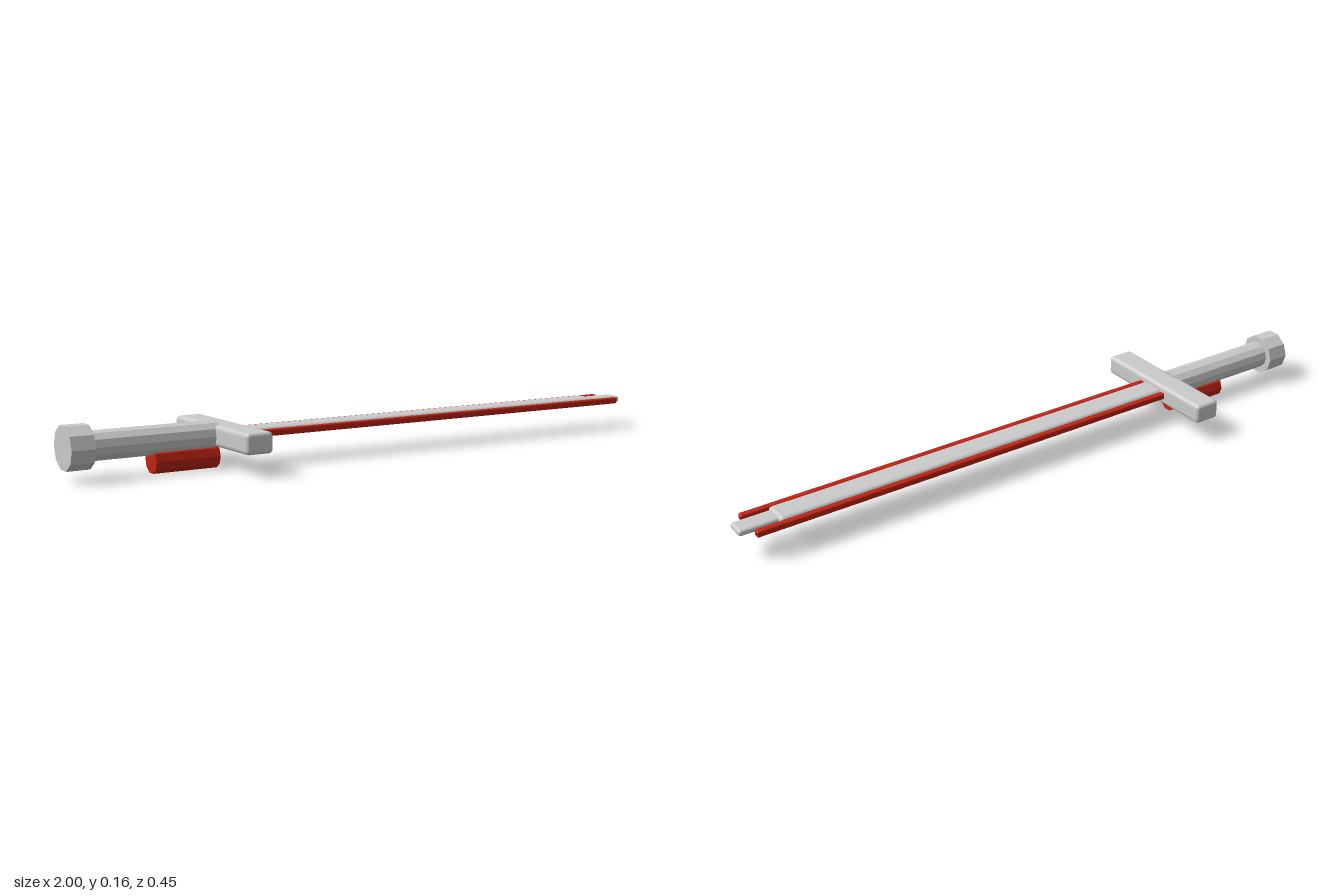
import * as THREE from 'three';
import { RoundedBoxGeometry } from 'three/addons/geometries/RoundedBoxGeometry.js';

const AXIS_Y = 0.094; // height of the sword's long axis

export function createModel() {
  const group = new THREE.Group();
  const grey = new THREE.MeshStandardMaterial({ color: 0xcccccc, flatShading: true });
  const red = new THREE.MeshStandardMaterial({ color: 0xc02414, flatShading: true });

  function add(name, geometry, material, x, y, z = 0) {
    const mesh = new THREE.Mesh(geometry, material);
    mesh.name = name;
    mesh.position.set(x, y, z);
    group.add(mesh);
  }

  // Faceted rod lying along x, from x0 to x1
  function rod(name, x0, x1, radius, sides, y, material) {
    const geometry = new THREE.CylinderGeometry(radius, radius, x1 - x0, sides);
    geometry.rotateZ(Math.PI / 2);
    add(name, geometry, material, (x0 + x1) / 2, y);
  }

  // Bar with softened edges, from x0 to x1
  function bar(name, x0, x1, height, depth, bevel, material, z = 0) {
    const geometry = new RoundedBoxGeometry(x1 - x0, height, depth, 2, bevel);
    add(name, geometry, material, (x0 + x1) / 2, AXIS_Y, z);
  }

  // Hilt
  rod('pommel', -1, -0.93, 0.065, 10, AXIS_Y, grey);
  rod('grip', -0.94, -0.54, 0.043, 12, AXIS_Y, grey);
  rod('gripCanister', -0.74, -0.54, 0.038, 10, 0.036, red);
  bar('crossguard', -0.555, -0.47, 0.062, 0.45, 0.012, grey);

  // Blade with a narrower tip
  bar('blade', -0.5, 0.88, 0.028, 0.082, 0.012, grey);
  bar('bladeTip', 0.84, 1, 0.02, 0.06, 0.009, grey);

  // Red edges on both sides of the blade
  for (const side of [1, -1]) {
    bar(side > 0 ? 'frontEdge' : 'backEdge', -0.48, 0.96, 0.02, 0.02, 0.005, red, side * 0.052);
  }

  return group;
}
